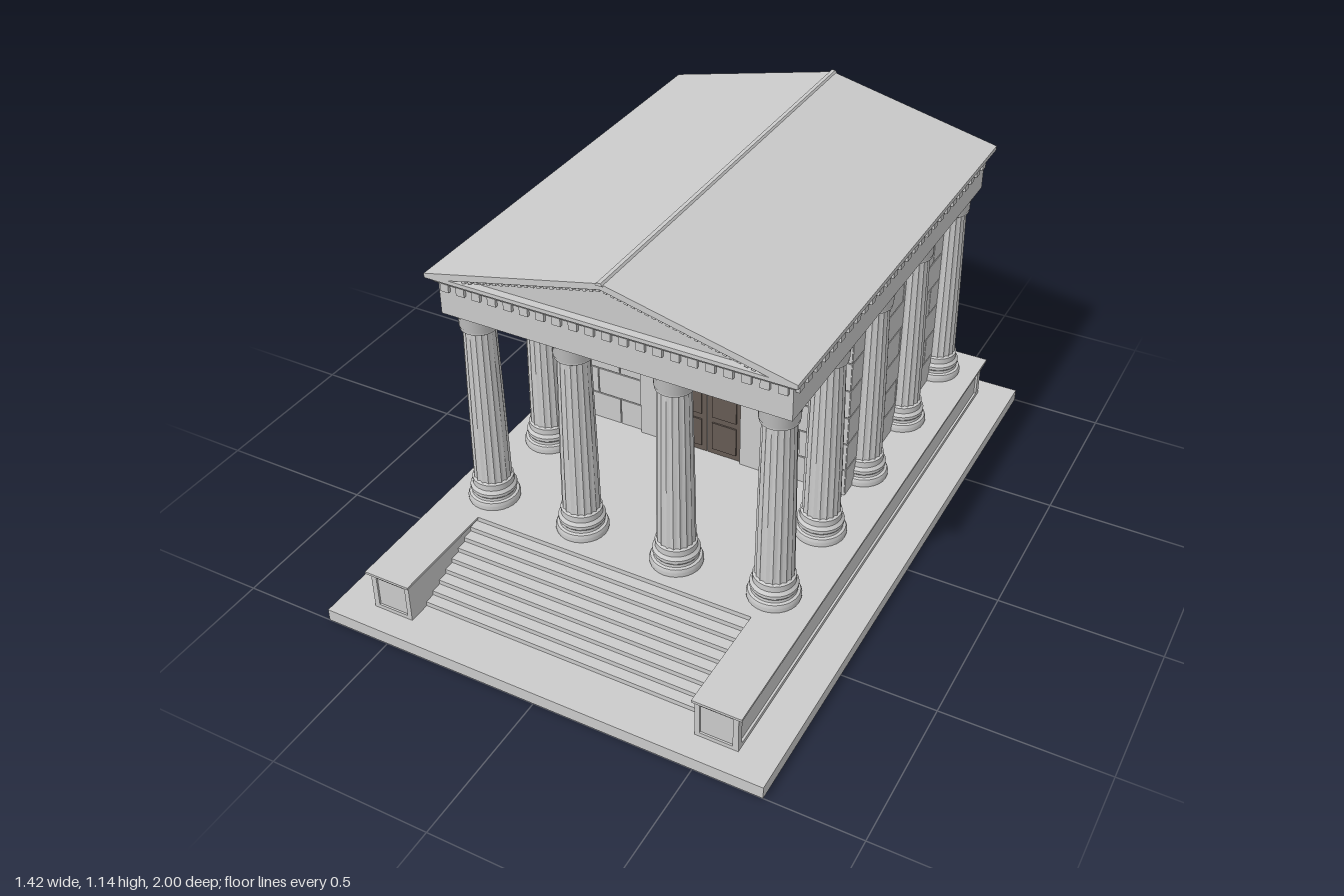
import * as THREE from 'three';
import { mergeGeometries, toCreasedNormals } from 'three/addons/utils/BufferGeometryUtils.js';

const stone = new THREE.MeshStandardMaterial({ color: 0xcccccc });
const wood = new THREE.MeshStandardMaterial({ color: 0x665b54 });

// Box from its limits on each axis
function block(x0, x1, y0, y1, z0, z1) {
  return new THREE.BoxGeometry(x1 - x0, y1 - y0, z1 - z0)
    .translate((x0 + x1) / 2, (y0 + y1) / 2, (z0 + z1) / 2);
}

// Box whose upper rim is pushed outwards by dx, dz0 (back) and dz1 (front)
function flared(x0, x1, y0, y1, z0, z1, dx, dz0, dz1) {
  const g = block(x0, x1, y0, y1, z0, z1).toNonIndexed(), p = g.attributes.position;
  for (let i = 0; i < p.count; i++) {
    if (p.getY(i) < (y0 + y1) / 2) continue;
    p.setX(i, p.getX(i) + Math.sign(p.getX(i)) * dx);
    p.setZ(i, p.getZ(i) > (z0 + z1) / 2 ? p.getZ(i) + dz1 : p.getZ(i) - dz0);
  }
  g.computeVertexNormals();
  return g;
}

function mesh(name, geometry, material = stone) {
  const m = new THREE.Mesh(Array.isArray(geometry) ? mergeGeometries(geometry) : geometry, material);
  m.name = name;
  return m;
}

// Fluted, tapering shaft with turned base and capital
function columnGeometry() {
  const flutes = 18, y0 = 0.255, y1 = 0.8;
  const shaft = new THREE.CylinderGeometry(1, 1, y1 - y0, flutes * 4, 3, true);
  shaft.translate(0, (y0 + y1) / 2, 0);
  const p = shaft.attributes.position;
  for (let i = 0; i < p.count; i++) {
    const x = p.getX(i), z = p.getZ(i);
    const t = THREE.MathUtils.clamp((p.getY(i) - y0) / (y1 - y0), 0, 1);
    const groove = Math.abs(Math.sin(Math.atan2(x, z) * flutes / 2));
    const r = (0.058 - 0.009 * Math.pow(t, 1.3)) * (1 - 0.06 * groove);
    p.setX(i, x * r);
    p.setZ(i, z * r);
  }
  const turned = pts => new THREE.LatheGeometry(pts.map(([r, y]) => new THREE.Vector2(r, y)), 28);
  const base = turned([[0.077, 0.17], [0.08, 0.18], [0.08, 0.19], [0.076, 0.2], [0.068, 0.203],
    [0.067, 0.212], [0.071, 0.218], [0.071, 0.228], [0.063, 0.238], [0.063, 0.258], [0.054, 0.263]]);
  const capital = turned([[0.046, 0.79], [0.056, 0.797], [0.056, 0.804], [0.058, 0.808],
    [0.058, 0.835], [0.064, 0.847], [0.064, 0.86], [0.001, 0.86]]);
  return mergeGeometries([shaft, base, capital].map(g => toCreasedNormals(g, 0.55)));
}

// Running-bond masonry facing +z, from a to b along local x
function masonry(name, a, b, size) {
  const parts = [], courses = 7, y0 = 0.175, h = (0.86 - y0) / courses, gap = 0.002;
  for (let c = 0; c < courses; c++) {
    for (let x = a - (c % 2) * size / 2; x < b - 0.01; x += size) {
      const l = Math.max(x, a), r = Math.min(x + size, b);
      parts.push(block(l + gap, r - gap, y0 + c * h + gap, y0 + (c + 1) * h - gap, -0.005, 0));
    }
  }
  return mesh(name, parts);
}

export function createModel() {
  const model = new THREE.Group();
  model.name = 'temple';
  const add = (...a) => { const m = mesh(...a); model.add(m); return m; };

  // Ground slab and podium with cheek walls beside the stairs
  add('groundSlab', block(-0.71, 0.71, 0, 0.04, -1, 1));
  const podium = [block(-0.59, 0.59, 0.04, 0.167, -0.92, 0.575)];
  const cap = [block(-0.61, 0.61, 0.167, 0.175, -0.94, 0.575)];
  const border = [block(-0.594, 0.594, 0.04, 0.053, -0.926, -0.91), block(-0.594, 0.594, 0.155, 0.167, -0.926, -0.91)];
  for (const s of [-1, 1]) {
    const side = (a, b, ...rest) => s > 0 ? block(a, b, ...rest) : block(-b, -a, ...rest);
    podium.push(side(0.465, 0.59, 0.04, 0.167, 0.57, 0.915));
    cap.push(side(0.46, 0.61, 0.167, 0.175, 0.575, 0.93));
    // Raised borders around the sunk panels
    for (const [y0, y1] of [[0.04, 0.053], [0.155, 0.167]]) {
      border.push(side(0.58, 0.597, y0, y1, -0.926, 0.921), side(0.465, 0.597, y0, y1, 0.91, 0.921));
    }
    border.push(side(0.58, 0.597, 0.04, 0.167, -0.926, -0.9), side(0.58, 0.597, 0.04, 0.167, 0.9, 0.921),
      side(0.465, 0.48, 0.04, 0.167, 0.91, 0.921));
  }
  add('podium', podium);
  add('podiumCap', cap);
  add('podiumPanelBorder', border);

  // Stairs
  const steps = [], rise = 0.015;
  for (let i = 0; i < 8; i++) {
    steps.push(block(-0.465, 0.465, 0.04 + i * rise, 0.04 + (i + 1) * rise, 0.57, 0.85 - i * 0.0344));
  }
  add('stairs', steps);

  // Columns: four at front and back, the rest along the sides
  const colGeo = columnGeometry();
  [0.46, 0.144, -0.172, -0.488, -0.805].forEach((z, row) => {
    for (const x of row === 0 || row === 4 ? [-0.475, -0.16, 0.16, 0.475] : [-0.475, 0.475]) {
      add('column', colGeo).position.set(x, 0, z);
    }
  });

  // Inner chamber and its masonry
  add('chamberWalls', block(-0.471, 0.471, 0.17, 0.9, -0.801, -0.039));
  for (const s of [-1, 1]) {
    const w = masonry('sideMasonry', -0.384, 0.384, 0.256);
    w.rotation.y = s * Math.PI / 2;
    w.position.set(s * 0.475, 0, -0.42);
    const f = masonry('frontMasonry', s > 0 ? 0.235 : -0.475, s > 0 ? 0.475 : -0.235, 0.16);
    f.position.z = -0.035;
    model.add(w, f);
  }
  const back = masonry('backMasonry', -0.475, 0.475, 0.2375);
  back.rotation.y = Math.PI;
  back.position.z = -0.805;
  model.add(back);

  // Doorway: jambs, flared lintel and panelled double door
  add('doorFrame', [block(-0.235, -0.12, 0.17, 0.82, -0.045, -0.025), block(0.12, 0.235, 0.17, 0.82, -0.045, -0.025),
    block(-0.235, 0.235, 0.815, 0.86, -0.045, -0.025)]);
  add('doorLintel', flared(-0.228, 0.228, 0.82, 0.845, -0.045, -0.018, 0.01, 0, 0.012));
  add('doorLintelTop', block(-0.24, 0.24, 0.845, 0.86, -0.045, 0));
  const door = [];
  for (const s of [-1, 1]) {
    door.push(block(s * 0.0608 - 0.0592, s * 0.0608 + 0.0592, 0.175, 0.82, -0.045, -0.036));
    for (let i = 0; i < 5; i++) {
      const y = 0.195 + i * 0.124;
      door.push(block(s * 0.061 - 0.042, s * 0.061 + 0.042, y, y + 0.102, -0.04, -0.031));
    }
  }
  add('door', door, wood);

  // Entablature ring, porch ceiling and cornice
  const zc = -0.17;
  const beams = [block(-0.545, 0.545, 0.86, 0.968, 0.42, 0.535), block(-0.545, 0.545, 0.86, 0.968, -0.875, -0.76)];
  for (const s of [-1, 1]) beams.push(block(s * 0.485 - 0.06, s * 0.485 + 0.06, 0.86, 0.968, -0.77, 0.43));
  add('entablature', beams);
  add('ceiling', block(-0.5, 0.5, 0.9, 0.965, -0.83, 0.49));
  add('cornice', flared(-0.553, 0.553, 0.966, 0.988, zc - 0.713, zc + 0.713, 0.013, 0.016, 0.016));

  // Dentils under the cornice on all four sides
  const dentils = [], pitch = 0.052;
  for (let i = -10; i <= 10; i++) {
    for (const z of [0.535, -0.875]) dentils.push(block(i * pitch - 0.0135, i * pitch + 0.0135, 0.942, 0.968, z - 0.01, z + 0.01));
  }
  for (let i = -13; i <= 13; i++) {
    const z = zc + i * pitch;
    for (const x of [-0.545, 0.545]) dentils.push(block(x - 0.01, x + 0.01, 0.942, 0.968, z - 0.0135, z + 0.0135));
  }
  add('dentils', dentils);

  // Gable roof with sunk pediments at both ends
  const outline = pts => pts.map(([x, y]) => new THREE.Vector2(x, y));
  const gable = [[-0.57, 0.986], [0.57, 0.986], [0.57, 1], [0, 1.132], [-0.57, 1]];
  const extrude = (shape, z0, z1) => new THREE.ExtrudeGeometry(shape, { depth: z1 - z0, bevelEnabled: false }).translate(0, 0, z0);
  add('roof', extrude(new THREE.Shape(outline(gable)), -0.88, 0.54));
  const rim = new THREE.Shape(outline(gable));
  rim.holes.push(new THREE.Path(outline([[-0.49, 0.998], [0, 1.113], [0.49, 0.998]])));
  add('frontPedimentRim', extrude(rim, 0.54, 0.565));
  add('backPedimentRim', extrude(rim, -0.905, -0.88));
  const ridge = new THREE.Shape(outline([[-0.012, 1.127], [0.012, 1.127], [0.006, 1.136], [-0.006, 1.136]]));
  add('roofRidge', extrude(ridge, -0.91, 0.57));

  // Small dentils along the sloping rims
  const raking = [], slope = Math.atan2(0.115, 0.49);
  for (const s of [-1, 1]) for (const z of [0.548, -0.888]) for (let i = 0; i < 22; i++) {
    const x = 0.012 + i * 0.0205;
    raking.push(new THREE.BoxGeometry(0.011, 0.012, 0.02).rotateZ(-s * slope)
      .translate(s * x, 1.108 - x * Math.tan(slope), z));
  }
  add('rakingDentils', raking);

  return model;
}
